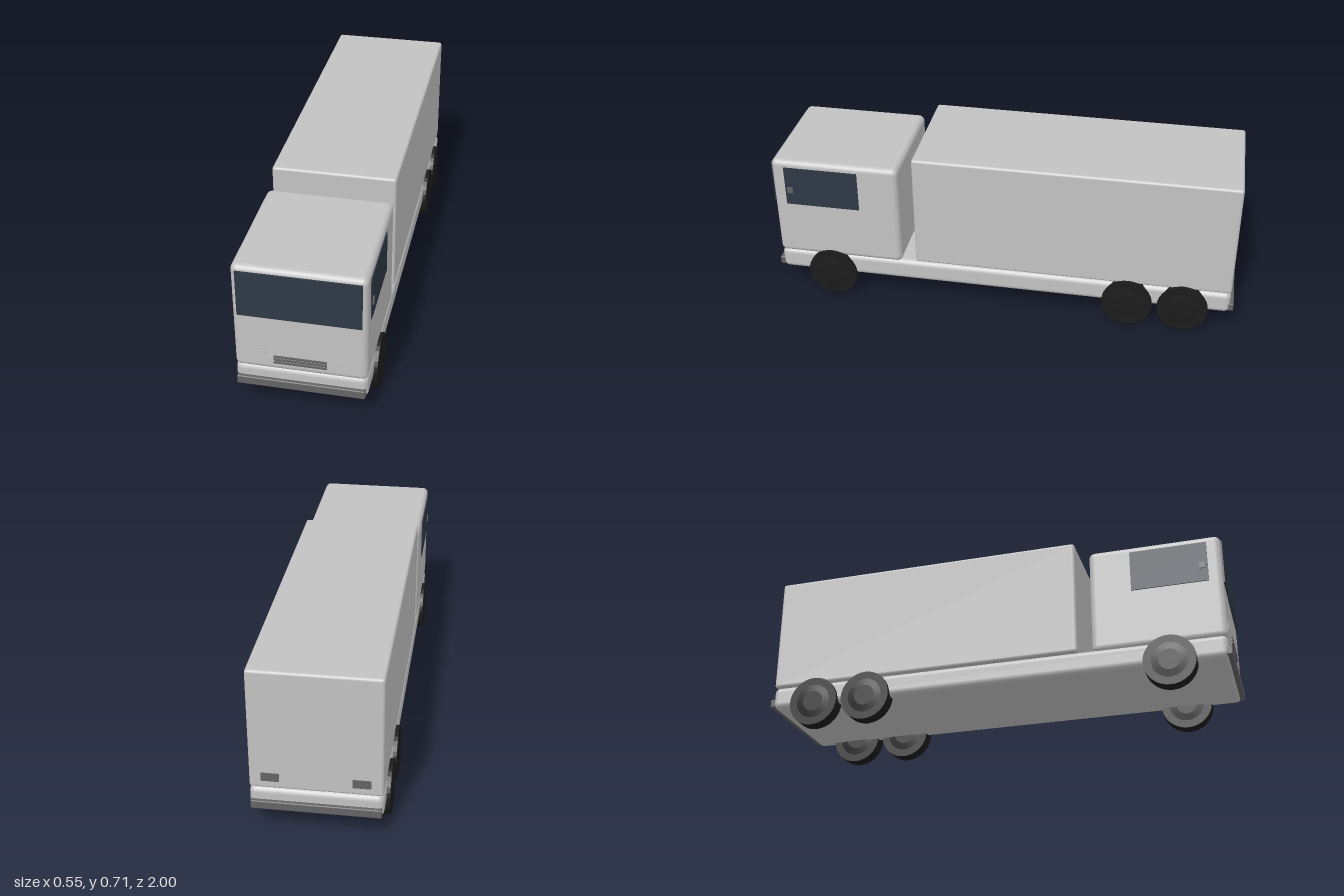
import * as THREE from 'three';
import { RoundedBoxGeometry } from 'three/addons/geometries/RoundedBoxGeometry.js';

const material = (name, color) => {
  const m = new THREE.MeshStandardMaterial({ color });
  m.name = name;
  return m;
};

export function createModel() {
  const truck = new THREE.Group();
  truck.name = 'boxTruck';

  const paint = material('greyPaint', 0xc2c2c2);
  const trim = material('darkGreyTrim', 0x646464);
  const glass = material('darkGlass', 0x2f3945);
  const rubber = material('blackRubber', 0x1c1c1c);

  // Adds a box given its extents on each axis; a radius rounds the edges
  function block(name, mat, [x0, x1], [y0, y1], [z0, z1], radius = 0) {
    const size = [x1 - x0, y1 - y0, z1 - z0];
    const geo = radius
      ? new RoundedBoxGeometry(...size, 4, radius)
      : new THREE.BoxGeometry(...size);
    const mesh = new THREE.Mesh(geo, mat);
    mesh.name = name;
    mesh.position.set((x0 + x1) / 2, (y0 + y1) / 2, (z0 + z1) / 2);
    truck.add(mesh);
  }

  // Main bodies
  block('chassis', paint, [-0.257, 0.257], [0.1, 0.198], [-0.985, 0.985], 0.025);
  block('cab', paint, [-0.257, 0.257], [0.188, 0.652], [0.437, 0.988], 0.025);
  block('cargoBox', paint, [-0.255, 0.255], [0.2, 0.711], [-0.985, 0.375], 0.012);

  // Bumpers
  block('frontBumper', trim, [-0.25, 0.25], [0.11, 0.147], [0.975, 1], 0.005);
  block('rearBumper', trim, [-0.25, 0.25], [0.11, 0.147], [-1, -0.975], 0.005);

  // Cab front: windscreen and grille bars
  block('windscreen', glass, [-0.237, 0.237], [0.436, 0.631], [0.986, 0.994]);
  for (const y of [0.225, 0.2385, 0.252]) {
    block('grilleBar', trim, [-0.103, 0.103], [y, y + 0.008], [0.985, 0.993]);
  }

  // Tyre profile with a slightly raised hub on both faces
  const profile = [
    [0, -0.033], [0.045, -0.033], [0.075, -0.029], [0.108, -0.029],
    [0.108, 0.029], [0.075, 0.029], [0.045, 0.033], [0, 0.033],
  ].map(([r, h]) => new THREE.Vector2(r, h));
  // Repeated corner points keep the tread edges sharp
  const sharp = profile.flatMap((p, i) => (i === 3 || i === 4 ? [p, p.clone()] : [p]));
  const wheelGeo = new THREE.LatheGeometry(sharp, 32).toNonIndexed();
  wheelGeo.computeVertexNormals();
  wheelGeo.rotateZ(Math.PI / 2);

  // Mirrored parts
  for (const s of [-1, 1]) {
    const side = (a, b) => (s > 0 ? [a, b] : [-b, -a]);
    block('sideWindow', glass, side(0.253, 0.261), [0.443, 0.622], [0.612, 0.932]);
    block('sideMirror', trim, side(0.255, 0.266), [0.501, 0.528], [0.898, 0.922]);
    block('headlight', paint, side(0.139, 0.207), [0.24, 0.275], [0.982, 0.99]);
    block('tailLight', trim, side(0.139, 0.209), [0.235, 0.27], [-0.989, -0.981]);

    for (const z of [0.752, -0.55, -0.787]) {
      const wheel = new THREE.Mesh(wheelGeo, rubber);
      wheel.name = z > 0 ? 'frontWheel' : 'rearWheel';
      wheel.position.set(s * 0.242, 0.108, z);
      truck.add(wheel);
    }
  }

  return truck;
}
